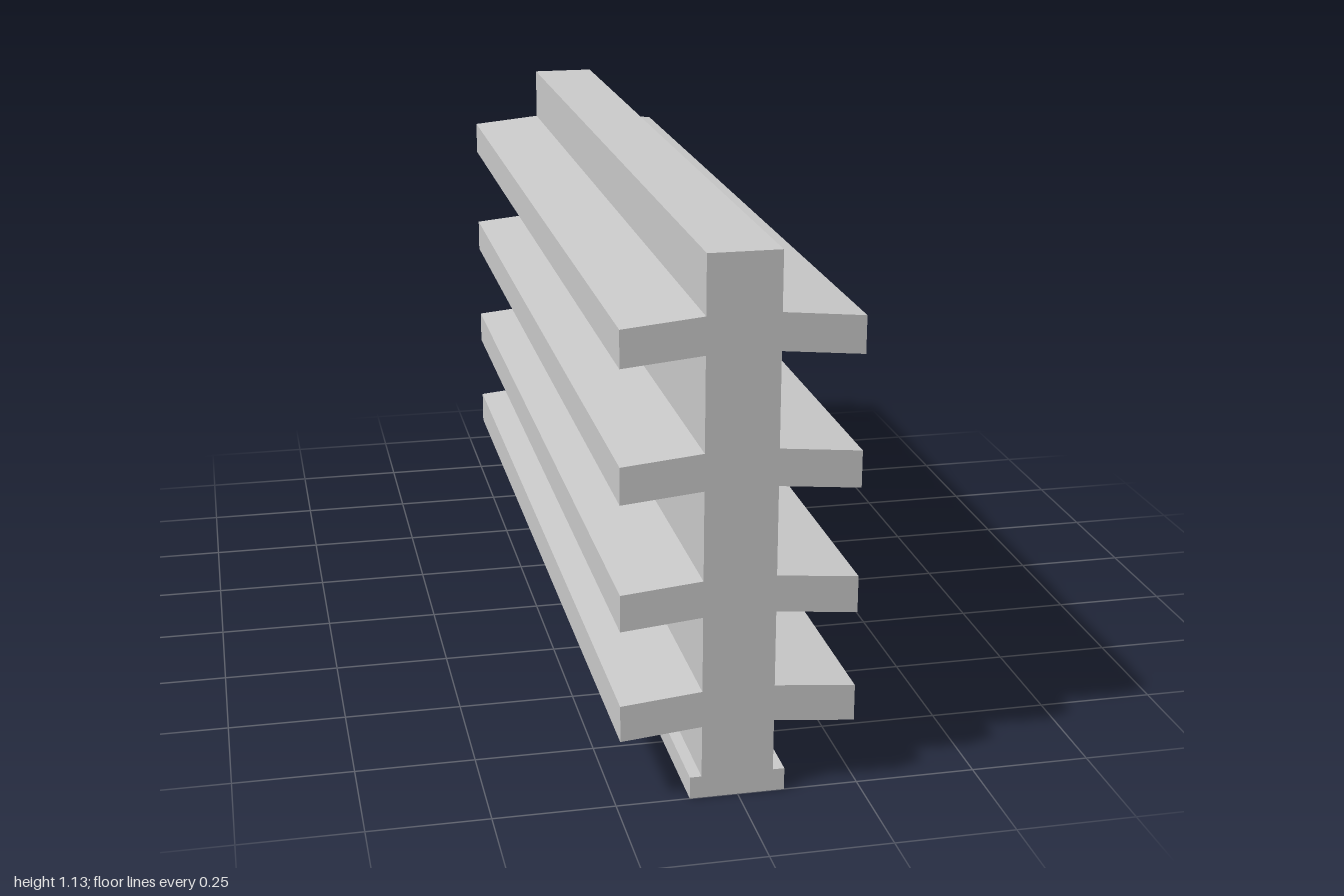
import * as THREE from 'three';

const LENGTH = 2;
const HEIGHT = 1.13;
const FOOT_HEIGHT = 0.047;
const FIN_ROOTS = [0.157, 0.394, 0.658, 0.931]; // underside of each fin at the web
const FIN_THICKNESS = 0.077;
const FIN_DROP = 0.016; // fins slope down towards their tips

// Outline of one side from the bottom up
function sideOutline(web, foot, tip) {
  const points = [[foot, 0], [foot, FOOT_HEIGHT], [web, FOOT_HEIGHT]];
  for (const y of FIN_ROOTS) {
    points.push(
      [web, y],
      [tip, y - FIN_DROP],
      [tip, y - FIN_DROP + FIN_THICKNESS],
      [web, y + FIN_THICKNESS]
    );
  }
  points.push([web, HEIGHT]);
  return points;
}

export function createModel() {
  const group = new THREE.Group();
  group.name = 'finnedRail';

  // Cross-section: foot, upright web and four drooping fins on each side
  const left = sideOutline(0.073, 0.097, 0.24);
  const right = sideOutline(-0.075, -0.099, -0.241).reverse();
  const profile = new THREE.Shape([...left, ...right].map(([x, y]) => new THREE.Vector2(x, y)));

  // Extrude along z, centred
  const geometry = new THREE.ExtrudeGeometry(profile, { depth: LENGTH, bevelEnabled: false });
  geometry.translate(0, 0, -LENGTH / 2);

  const material = new THREE.MeshStandardMaterial({ color: 0xcccccc, flatShading: true });
  const rail = new THREE.Mesh(geometry, material);
  rail.name = 'finnedProfile';
  group.add(rail);
  return group;
}
